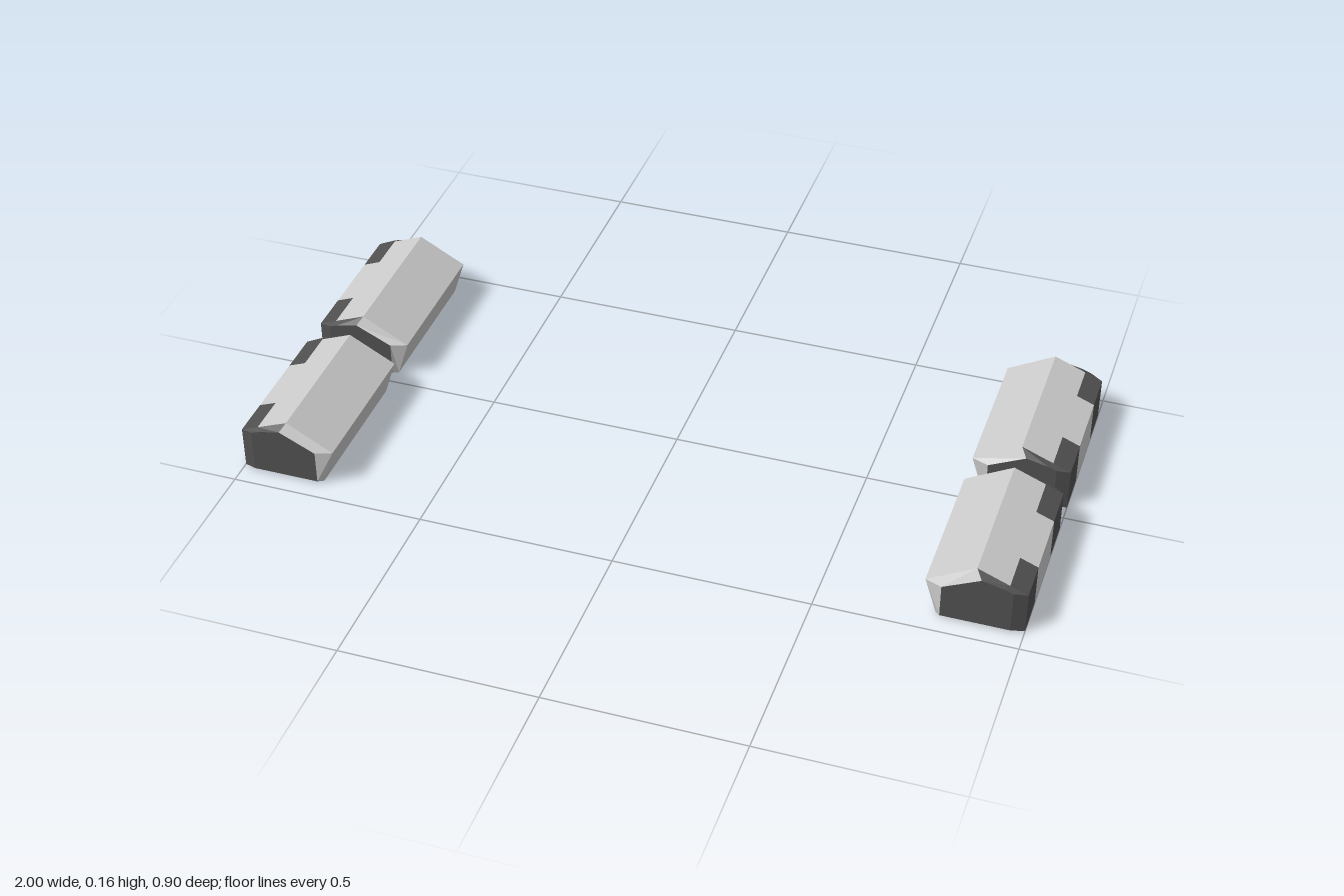
import * as THREE from 'three';

// Cross-section of one block, from outer bottom counter-clockwise: [x, y]
const body = [[1, 0], [1, 0.11], [0.955, 0.128], [0.875, 0.16], [0.755, 0.095], [0.785, 0]];
// Smaller section at the bevelled ends
const end = [[0.967, 0.006], [0.967, 0.118], [0.945, 0.126], [0.89, 0.138], [0.797, 0.094], [0.797, 0.006]];
// Stations along z, front to back
const stations = [[0.45, end], [0.435, body], [0.33, body], [0.153, body], [0.043, body], [0.028, end]];

// Dark armour covers the outer corners and the outer half of the end bevels
function isDark(segment, edge) {
  if (segment === 0 || segment === 4) return edge <= 2;
  if (segment === 1 || segment === 3) return edge <= 1;
  return false;
}

function toGeometry(triangles) {
  const geometry = new THREE.BufferGeometry();
  geometry.setAttribute('position', new THREE.Float32BufferAttribute(triangles.flat(), 3));
  geometry.computeVertexNormals();
  return geometry;
}

function makeBlock(sx, sz, shellMaterial, armorMaterial) {
  const shell = [], armor = [];
  const rings = stations.map(([z, section]) => section.map(([x, y]) => [sx * x, y, sz * z]));
  // A single mirror reverses the winding
  const addTriangle = (list, a, b, c) => (sx * sz > 0 ? list.push(a, b, c) : list.push(a, c, b));

  for (let i = 0; i < rings.length - 1; i++) {
    for (let j = 0; j < body.length; j++) {
      const k = (j + 1) % body.length;
      const front = rings[i], back = rings[i + 1];
      const list = isDark(i, j) ? armor : shell;
      addTriangle(list, back[j], back[k], front[k]);
      addTriangle(list, back[j], front[k], front[j]);
    }
  }
  // End plates
  const first = rings[0], last = rings[rings.length - 1];
  for (let j = 1; j < body.length - 1; j++) {
    addTriangle(armor, first[0], first[j], first[j + 1]);
    addTriangle(armor, last[0], last[j + 1], last[j]);
  }

  const block = new THREE.Group();
  const shellMesh = new THREE.Mesh(toGeometry(shell), shellMaterial);
  shellMesh.name = 'shell';
  const armorMesh = new THREE.Mesh(toGeometry(armor), armorMaterial);
  armorMesh.name = 'endAndCornerArmor';
  block.add(shellMesh, armorMesh);
  return block;
}

export function createModel() {
  const model = new THREE.Group();
  model.name = 'fourBlocks';
  const light = new THREE.MeshStandardMaterial({ color: 0xcccccc });
  light.name = 'lightGrey';
  const dark = new THREE.MeshStandardMaterial({ color: 0x505050 });
  dark.name = 'darkGrey';

  for (const [side, sx] of [['left', 1], ['right', -1]]) {
    for (const [place, sz] of [['Front', 1], ['Back', -1]]) {
      const block = makeBlock(sx, sz, light, dark);
      block.name = side + place + 'Block';
      model.add(block);
    }
  }
  return model;
}
